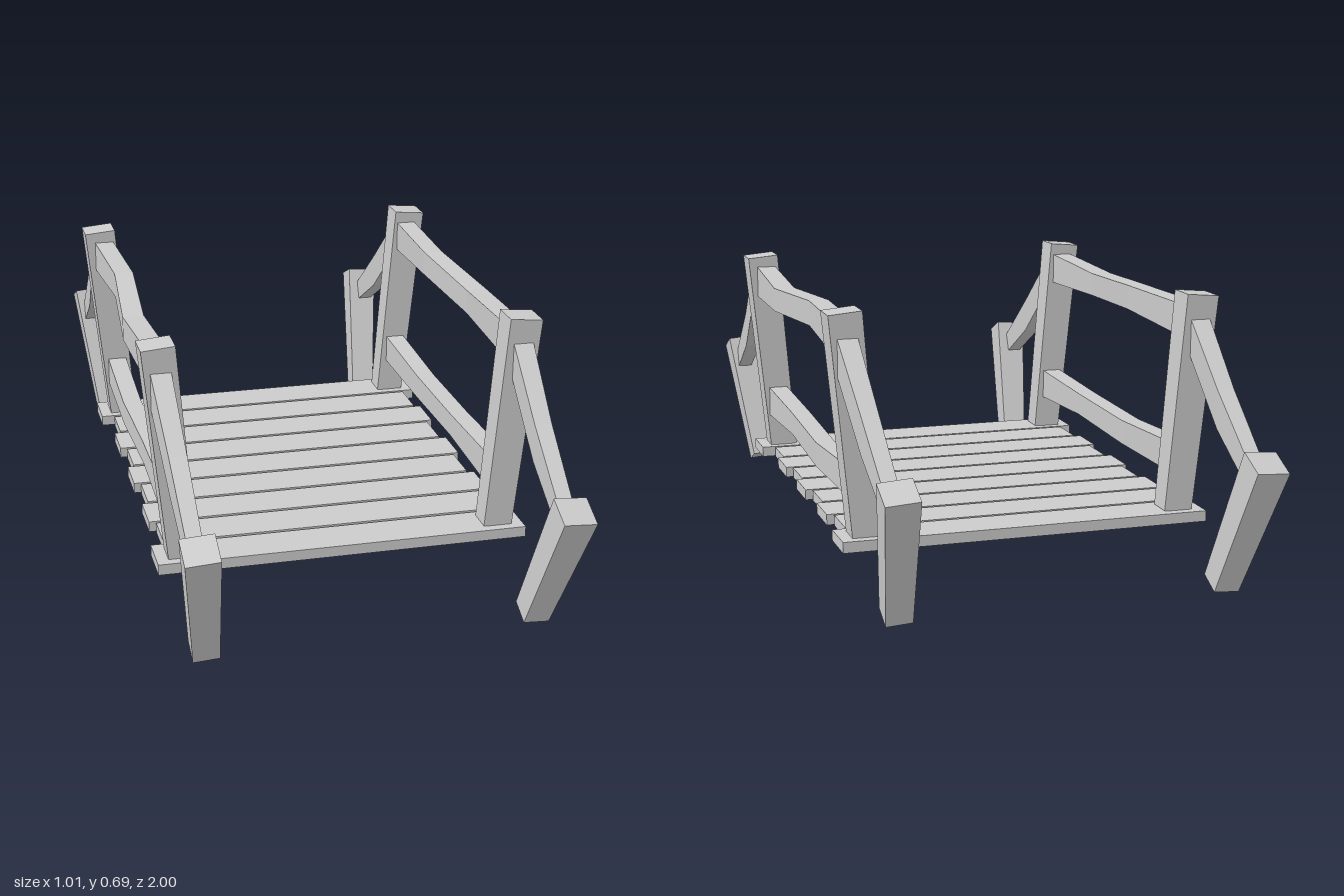
import * as THREE from 'three';

const wood = new THREE.MeshStandardMaterial({ color: 0xcccccc, flatShading: true });

// Closed four-sided beam through a list of rings, mirrored by sx and sz.
function beam(name, rings, sx = 1, sz = 1) {
  const pos = [];
  const flip = sx * sz < 0;
  const quad = (a, b, c, d) => {
    const order = flip ? [a, c, b, a, d, c] : [a, b, c, a, c, d];
    for (const p of order) pos.push(p.x * sx, p.y, p.z * sz);
  };
  for (let i = 0; i < rings.length - 1; i++) {
    for (let j = 0; j < 4; j++) {
      const k = (j + 1) % 4;
      quad(rings[i][j], rings[i][k], rings[i + 1][k], rings[i + 1][j]);
    }
  }
  const [a, b, c, d] = rings[0];
  quad(d, c, b, a);
  quad(...rings[rings.length - 1]);
  const geo = new THREE.BufferGeometry();
  geo.setAttribute('position', new THREE.Float32BufferAttribute(pos, 3));
  geo.computeVertexNormals();
  const mesh = new THREE.Mesh(geo, wood);
  mesh.name = name;
  return mesh;
}

// Rings square to the axis of a leaning, tapering post.
function postRings(bottom, top, bottomSize, topSize) {
  const axis = top.clone().sub(bottom).normalize();
  const u = new THREE.Vector3(1, 0, 0).addScaledVector(axis, -axis.x).normalize();
  const v = axis.clone().cross(u);
  const corners = [[-1, -1], [1, -1], [1, 1], [-1, 1]];
  return [[bottom, bottomSize], [top, topSize]].map(([p, [w, d]]) =>
    corners.map(([s, t]) => p.clone().addScaledVector(u, s * w / 2).addScaledVector(v, t * d / 2)));
}

// Upright rings for a rail, each given as [z, x0, x1, y0, y1].
const railRings = (stations) => stations.map(([z, x0, x1, y0, y1]) =>
  [[x0, y0], [x1, y0], [x1, y1], [x0, y1]].map(([x, y]) => new THREE.Vector3(x, y, z)));

export function createModel() {
  const model = new THREE.Group();
  model.name = 'footbridge';

  // Deck of nine planks with uneven ends
  const deck = new THREE.Group();
  deck.name = 'deck';
  for (let i = 0; i < 9; i++) {
    const end = i === 0 || i === 8;
    const length = end ? 0.96 : i % 2 ? 0.89 : 0.925;
    const plank = new THREE.Mesh(new THREE.BoxGeometry(length, 0.028, 0.116), wood);
    plank.position.set(0, 0.116, (i - 4) * 0.126);
    plank.name = 'plank';
    deck.add(plank);
  }
  model.add(deck);

  const V = (x, y, z) => new THREE.Vector3(x, y, z);
  const deckPost = postRings(V(0.412, 0.128, 0.503), V(0.463, 0.69, 0.505), [0.075, 0.068], [0.085, 0.082]);
  const endPost = postRings(V(0.413, 0.018, 0.805), V(0.446, 0.357, 0.962), [0.066, 0.066], [0.084, 0.084]);

  // Hand-hewn rails between the deck posts
  const topRail = railRings([
    [-0.49, 0.427, 0.479, 0.577, 0.66],
    [-0.16, 0.415, 0.466, 0.595, 0.66],
    [0.16, 0.437, 0.492, 0.582, 0.645],
    [0.49, 0.427, 0.479, 0.575, 0.662],
  ]);
  const lowRail = railRings([
    [-0.49, 0.4, 0.452, 0.225, 0.303],
    [-0.16, 0.405, 0.455, 0.22, 0.285],
    [0.16, 0.4, 0.45, 0.233, 0.294],
    [0.49, 0.4, 0.452, 0.22, 0.304],
  ]);

  // Rail dropping from the deck post to the splayed end post
  const slopeRail = railRings([
    [0.53, 0.432, 0.484, 0.545, 0.64],
    [0.72, 0.428, 0.472, 0.385, 0.482],
    [0.92, 0.427, 0.465, 0.27, 0.33],
  ]);

  for (const sx of [1, -1]) {
    const side = new THREE.Group();
    side.name = sx > 0 ? 'leftRailing' : 'rightRailing';
    side.add(beam('topRail', topRail, sx), beam('lowRail', lowRail, sx));
    for (const sz of [1, -1]) {
      side.add(
        beam('deckPost', deckPost, sx, sz),
        beam('endPost', endPost, sx, sz),
        beam('slopeRail', slopeRail, sx, sz));
    }
    model.add(side);
  }
  return model;
}
